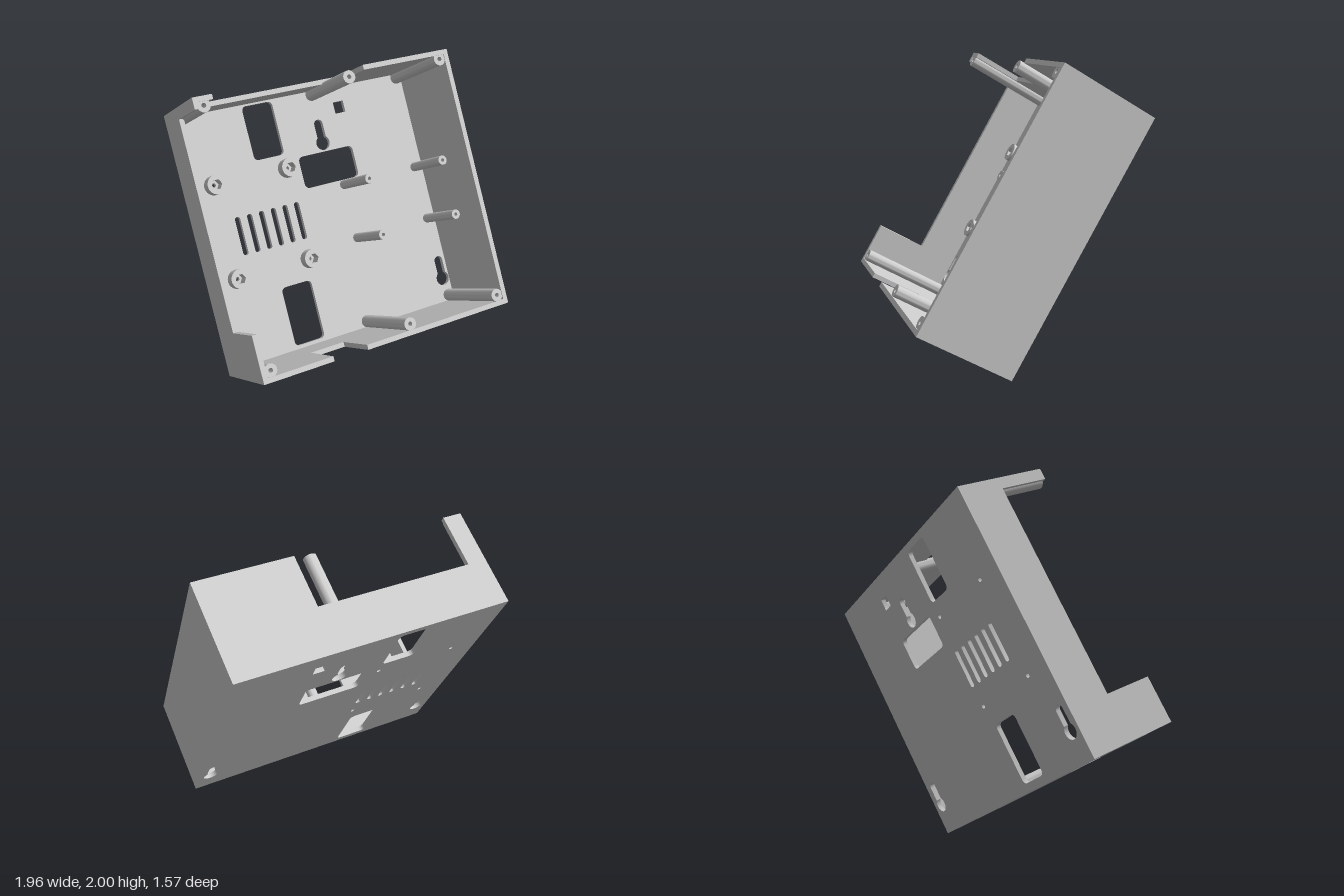
import * as THREE from 'three';
import { toCreasedNormals } from 'three/addons/utils/BufferGeometryUtils.js';

const W = 1.956, H = 1.897, D = 0.712, T = 0.035; // tray size and wall thickness
const X = W / 2, V = H / 2, B = D / 2;
const FLOOR = -B + T;
const NOTCH = -0.025; // depth level of the wall cut-outs

const axis = (x, y, z) => new THREE.Vector3(x, y, z);

function extrude(shape, depth) {
  const geo = new THREE.ExtrudeGeometry(shape, { depth, bevelEnabled: false, curveSegments: 10 });
  return toCreasedNormals(geo, 0.7);
}

function roundedRect(x0, y0, x1, y1, r) {
  const p = new THREE.Path();
  p.absarc(x1 - r, y1 - r, r, 0, Math.PI / 2);
  p.absarc(x0 + r, y1 - r, r, Math.PI / 2, Math.PI);
  p.absarc(x0 + r, y0 + r, r, Math.PI, Math.PI * 1.5);
  p.absarc(x1 - r, y0 + r, r, Math.PI * 1.5, Math.PI * 2);
  p.closePath();
  return p;
}

function keyhole(x, y) {
  const R = 0.055, r = 0.035, a = Math.asin(r / R);
  const p = new THREE.Path();
  p.absarc(x, y, R, Math.PI / 2 + a, Math.PI * 2.5 - a);
  p.absarc(x, y + 0.143, r, 0, Math.PI);
  p.closePath();
  return p;
}

function ring(x, y, r, sides = 24) {
  const pts = [];
  for (let i = 0; i < sides; i++) {
    const t = (i / sides) * Math.PI * 2;
    pts.push(new THREE.Vector2(x + r * Math.cos(t), y + r * Math.sin(t)));
  }
  return pts;
}

// Wall outline from floor to rim, with an optional notch [from, to] open at the rim
function wallShape(half, notch) {
  const pts = [[-half, FLOOR], [half, FLOOR], [half, B]];
  if (notch) pts.push([notch[1], B], [notch[1], NOTCH], [notch[0], NOTCH], [notch[0], B]);
  pts.push([-half, B]);
  return new THREE.Shape(pts.map(([a, b]) => new THREE.Vector2(a, b)));
}

export function createModel() {
  const grey = new THREE.MeshStandardMaterial({ color: 0xcccccc });
  grey.name = 'light grey plastic';
  const model = new THREE.Group();
  model.name = 'wallEnclosure';
  const tray = new THREE.Group();
  tray.name = 'tiltedTray';
  model.add(tray);
  const add = (name, geo, x = 0, y = 0, z = 0) => {
    const m = new THREE.Mesh(geo, grey);
    m.name = name;
    m.position.set(x, y, z);
    tray.add(m);
  };

  const standoffs = [];
  for (const x of [-0.76, -0.18]) for (const y of [0.391, -0.297]) standoffs.push([x, y]);

  // Back plate with openings, vents, keyholes and screw holes
  const plate = new THREE.Shape([[-X, -V], [X, -V], [X, V], [-X, V]].map(([a, b]) => new THREE.Vector2(a, b)));
  plate.holes.push(
    roundedRect(-0.41, 0.497, -0.17, 0.9, 0.035),
    roundedRect(-0.45, -0.89, -0.21, -0.45, 0.035),
    roundedRect(-0.07, 0.21, 0.385, 0.45, 0.035),
    roundedRect(0.317, 0.71, 0.403, 0.797, 0.002),
    keyhole(0.157, 0.516), keyhole(-0.89, -0.733), keyhole(0.885, -0.733)
  );
  for (let i = 0; i < 6; i++) {
    const x = -0.647 + i * 0.0945;
    plate.holes.push(roundedRect(x - 0.02, -0.15, x + 0.02, 0.133, 0.0199));
  }
  for (const [x, y] of standoffs) plate.holes.push(new THREE.Path(ring(x, y, 0.017, 16)));
  add('backPlate', extrude(plate, T), 0, 0, -B);

  // Top and bottom walls run the full width
  const across = new THREE.Matrix4().makeBasis(axis(1, 0, 0), axis(0, 0, 1), axis(0, -1, 0));
  add('topWall', extrude(wallShape(X, [-0.84, 0.278]), T).applyMatrix4(across), 0, V, 0);
  add('bottomWall', extrude(wallShape(X, [-0.463, -0.203]), T).applyMatrix4(across), 0, -V + T, 0);

  // Side walls fit between them
  const along = new THREE.Matrix4().makeBasis(axis(0, 1, 0), axis(0, 0, 1), axis(1, 0, 0));
  add('rightWall', extrude(wallShape(V - T, [-0.62, 0.869]), T).applyMatrix4(along), -X, 0, 0);
  add('leftWall', extrude(wallShape(V - T), T).applyMatrix4(along), X - T, 0, 0);

  // Hollow post standing on the back plate
  const post = (name, x, y, r, hole, holeSides, top) => {
    const s = new THREE.Shape(ring(0, 0, r, 32));
    s.holes.push(new THREE.Path(ring(0, 0, hole, holeSides)));
    add(name, extrude(s, top - FLOOR), x, y, FLOOR);
  };
  for (const x of [-0.91, 0.157, 0.902])
    for (const y of [0.886, -0.872]) post('lidScrewPost', x, y, 0.046, 0.016, 16, 0.35);
  for (const x of [0.245, 0.875])
    for (const y of [0.173, -0.242]) post('boardPost', x, y, 0.035, 0.013, 16, 0.11);
  for (const [x, y] of standoffs) post('nutStandoff', x, y, 0.07, 0.038, 6, -0.235);

  // Lean the tray back
  tray.rotation.x = -Math.PI / 6;
  tray.position.y = V * Math.cos(Math.PI / 6) + B * 0.5;
  return model;
}
